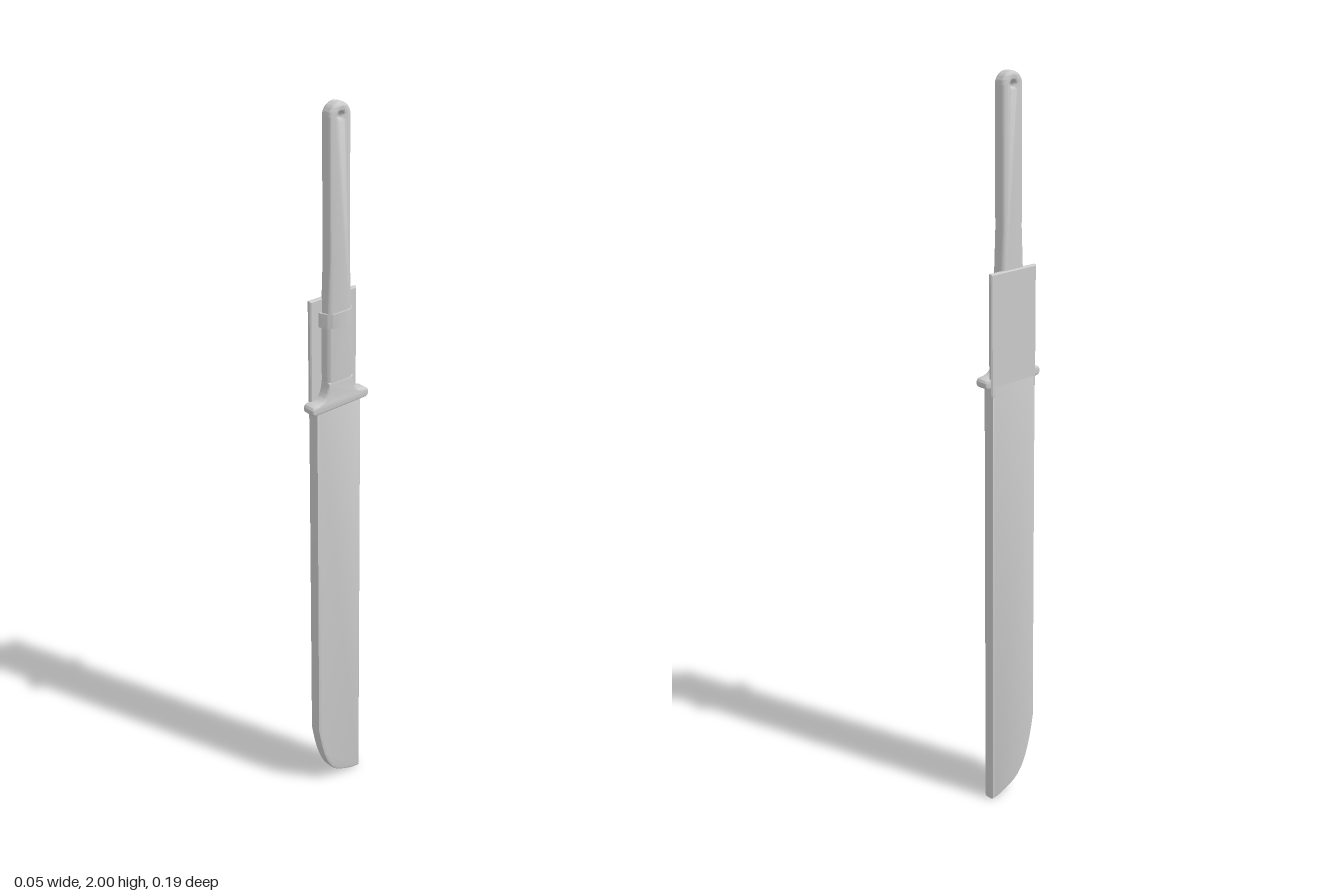
import * as THREE from 'three';
import { toCreasedNormals } from 'three/addons/utils/BufferGeometryUtils.js';

const material = new THREE.MeshStandardMaterial({ color: 0xcccccc });

// Side profile (u = -z, y) extruded through the thickness x0..x1 with bevelled rims
function slab(name, shape, x0, x1, bevel, segments, crease = 0.6) {
  const g = new THREE.ExtrudeGeometry(shape, {
    depth: x1 - x0 - 2 * bevel, bevelThickness: bevel, bevelSize: bevel,
    bevelOffset: -bevel, bevelSegments: segments, curveSegments: 14,
  });
  g.translate(0, 0, x0 + bevel);
  g.rotateY(Math.PI / 2);
  const mesh = new THREE.Mesh(toCreasedNormals(g, crease), material);
  mesh.name = name;
  return mesh;
}

function sheathShape() {
  const s = new THREE.Shape();
  s.moveTo(0.075, 1.235);
  s.lineTo(-0.075, 1.235);
  s.lineTo(-0.077, 0.21);
  s.bezierCurveTo(-0.06, 0.11, -0.04, 0.035, 0.02, 0.018);
  s.quadraticCurveTo(0.05, 0.002, 0.081, 0);
  s.lineTo(0.075, 1.235);
  return s;
}

function backPlateShape() {
  const s = new THREE.Shape();
  s.moveTo(-0.075, 1.2);
  s.lineTo(0.078, 1.2);
  s.lineTo(0.078, 1.52);
  s.lineTo(-0.075, 1.52);
  s.closePath();
  return s;
}

// Grip with a rounded butt, a lanyard hole and a slightly swollen lower half
function gripShape() {
  const s = new THREE.Shape();
  s.moveTo(-0.04, 1.235);
  s.lineTo(0.04, 1.235);
  s.lineTo(0.04, 1.45);
  s.lineTo(0.033, 1.62);
  s.lineTo(0.033, 1.967);
  s.absarc(0, 1.967, 0.033, 0, Math.PI, false);
  s.lineTo(-0.033, 1.62);
  s.lineTo(-0.04, 1.45);
  s.closePath();
  const hole = new THREE.Path();
  hole.absarc(0, 1.969, 0.007, 0, Math.PI * 2, true);
  s.holes.push(hole);
  return s;
}

// Cross guard sweeping up into the grip on both sides
function guardShape() {
  const s = new THREE.Shape();
  s.moveTo(-0.085, 1.223);
  s.lineTo(0.085, 1.223);
  s.quadraticCurveTo(0.095, 1.225, 0.095, 1.236);
  s.quadraticCurveTo(0.094, 1.249, 0.08, 1.249);
  s.bezierCurveTo(0.055, 1.25, 0.043, 1.262, 0.04, 1.3);
  s.lineTo(-0.04, 1.3);
  s.bezierCurveTo(-0.043, 1.262, -0.055, 1.25, -0.08, 1.249);
  s.quadraticCurveTo(-0.094, 1.249, -0.095, 1.236);
  s.quadraticCurveTo(-0.095, 1.225, -0.085, 1.223);
  return s;
}

// Retaining strap: a C-shaped band from the back plate around the grip
function strap() {
  const s = new THREE.Shape();
  s.moveTo(-0.016, 0.05);
  s.lineTo(-0.002, 0.047);
  s.quadraticCurveTo(0.014, 0.042, 0.023, 0.023);
  s.lineTo(0.023, -0.023);
  s.quadraticCurveTo(0.014, -0.042, -0.002, -0.047);
  s.lineTo(-0.016, -0.05);
  s.lineTo(-0.016, -0.044);
  s.lineTo(-0.002, -0.042);
  s.quadraticCurveTo(0.011, -0.038, 0.019, -0.021);
  s.lineTo(0.019, 0.021);
  s.quadraticCurveTo(0.011, 0.038, -0.002, 0.042);
  s.lineTo(-0.016, 0.044);
  s.closePath();
  const g = new THREE.ExtrudeGeometry(s, { depth: 0.038, bevelEnabled: false, curveSegments: 8 });
  g.rotateX(-Math.PI / 2);
  g.translate(0, 1.447, 0);
  const mesh = new THREE.Mesh(toCreasedNormals(g, 0.6), material);
  mesh.name = 'retainingStrap';
  return mesh;
}

export function createModel() {
  const group = new THREE.Group();
  group.name = 'sheathedMachete';
  group.add(
    slab('sheath', sheathShape(), -0.025, 0.011, 0.008, 2),
    slab('backPlate', backPlateShape(), -0.025, -0.012, 0.003, 1, 0.4),
    slab('grip', gripShape(), -0.021, 0.017, 0.011, 4),
    slab('crossGuard', guardShape(), -0.021, 0.018, 0.005, 3),
    strap(),
  );
  return group;
}
